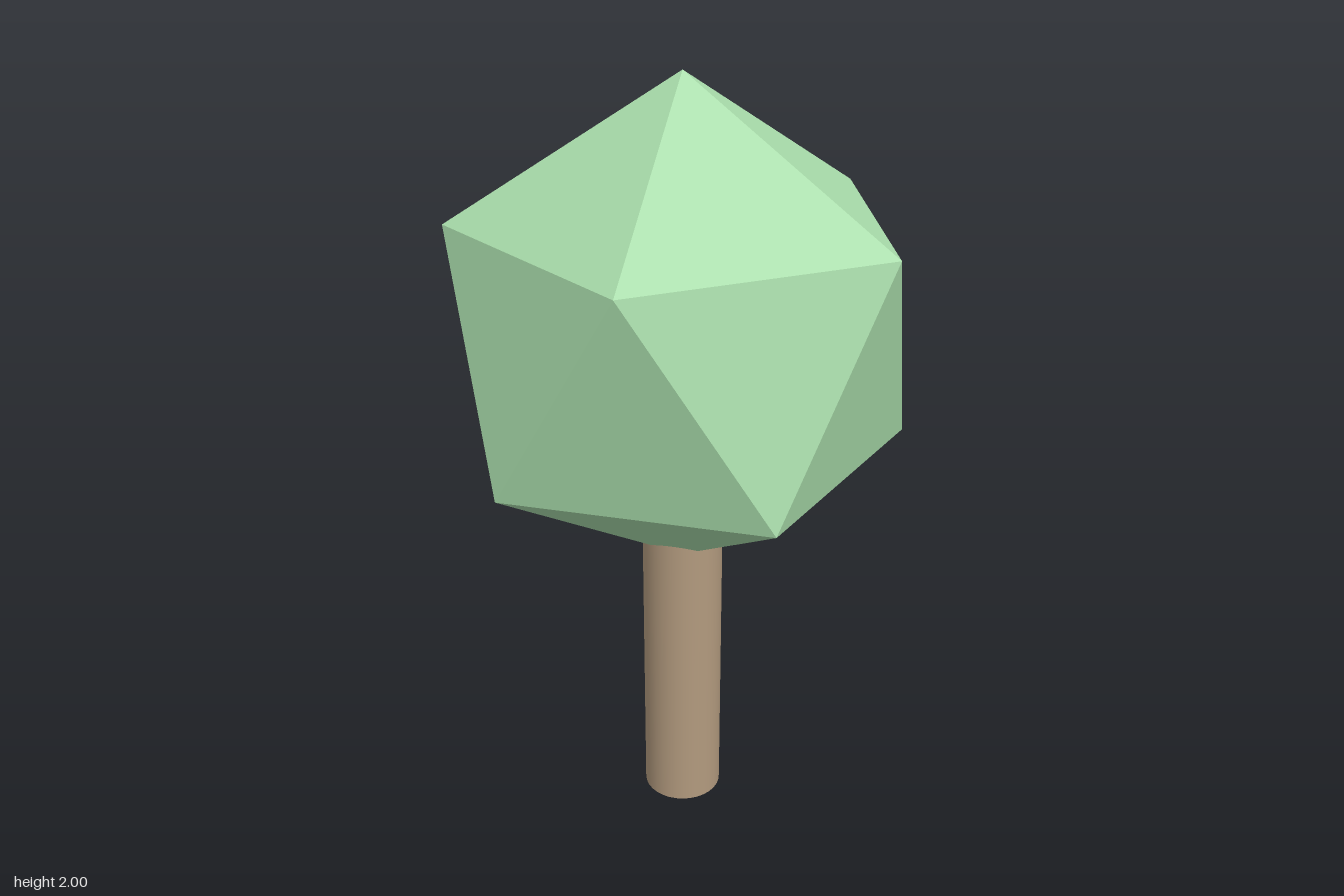
import * as THREE from 'three';

export function createModel() {
  const tree = new THREE.Group();
  tree.name = 'tree';

  const leafGreen = new THREE.MeshStandardMaterial({ color: 0xa8dcaa });
  leafGreen.name = 'leafGreen';
  const barkBrown = new THREE.MeshStandardMaterial({ color: 0xb29a7e });
  barkBrown.name = 'barkBrown';

  // Trunk: smooth round post reaching into the crown
  const trunkHeight = 0.95;
  const trunk = new THREE.Mesh(
    new THREE.CylinderGeometry(0.105, 0.105, trunkHeight, 32), barkBrown);
  trunk.name = 'trunk';
  trunk.position.y = trunkHeight / 2;
  tree.add(trunk);

  // Crown: faceted icosahedron, tilted to stand on one corner
  const radius = 0.63;
  const golden = (1 + Math.sqrt(5)) / 2;
  const crownGeometry = new THREE.IcosahedronGeometry(radius, 0);
  crownGeometry.rotateZ(-Math.atan(1 / golden));
  const crown = new THREE.Mesh(crownGeometry, leafGreen);
  crown.name = 'crown';
  crown.position.y = 2 - radius;
  tree.add(crown);

  return tree;
}
